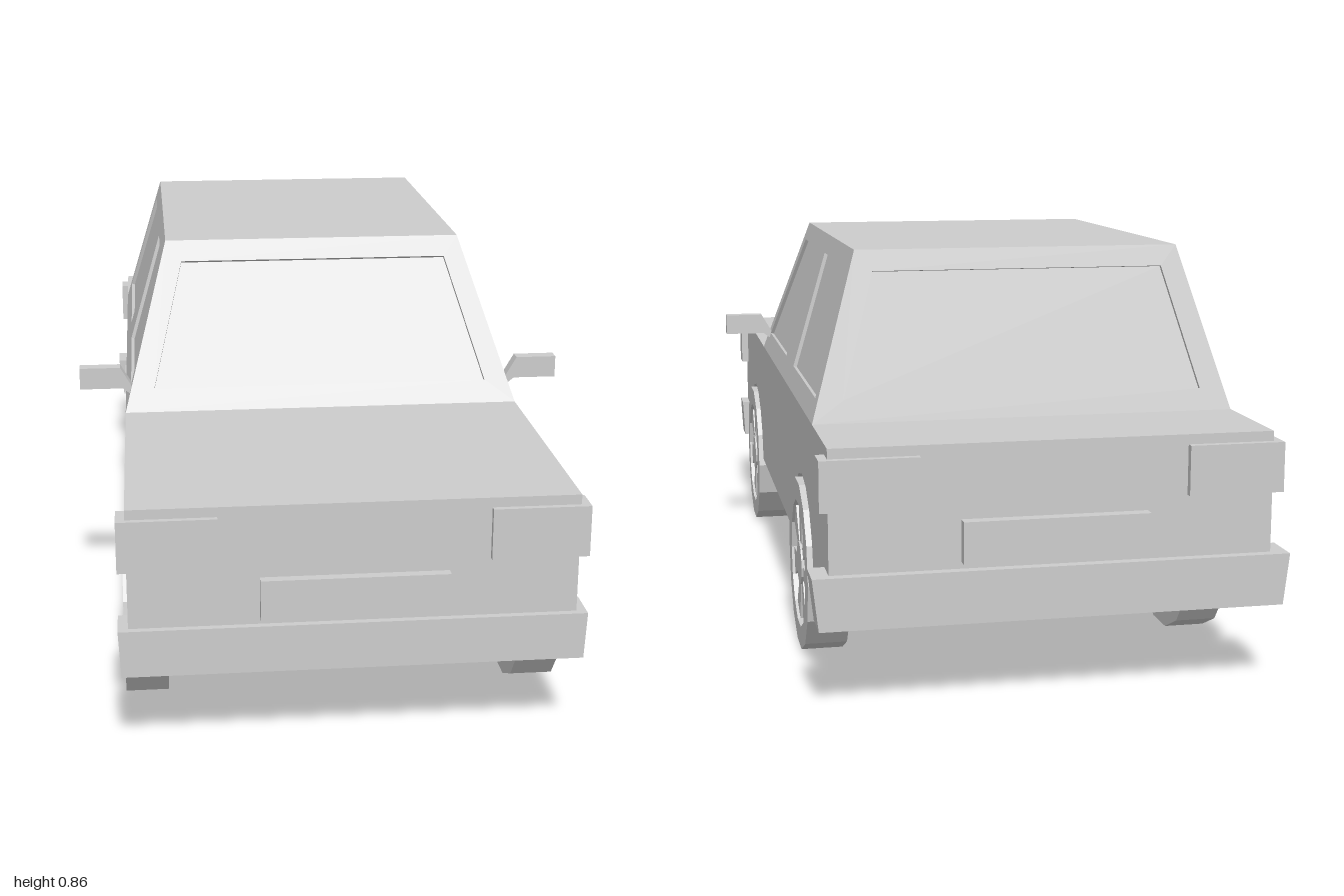
import * as THREE from 'three';

const paint = new THREE.MeshStandardMaterial({ color: 0xcccccc });
paint.name = 'light grey';

function add(parent, name, geometry) {
  const flat = geometry.index ? geometry.toNonIndexed() : geometry;
  flat.computeVertexNormals();
  const mesh = new THREE.Mesh(flat, paint);
  mesh.name = name;
  parent.add(mesh);
  return mesh;
}

// box from its lower and upper limits
function box(parent, name, x0, x1, y0, y1, z0, z1) {
  const g = new THREE.BoxGeometry(x1 - x0, y1 - y0, z1 - z0);
  g.translate((x0 + x1) / 2, (y0 + y1) / 2, (z0 + z1) / 2);
  return add(parent, name, g);
}

function extrude(points, depth) {
  const shape = new THREE.Shape(points.map(([x, y]) => new THREE.Vector2(x, y)));
  return new THREE.ExtrudeGeometry(shape, { depth, bevelEnabled: false });
}

// quads with corners counter-clockwise from outside
function quads(list) {
  const pos = [];
  for (const [a, b, c, d] of list) for (const p of [a, b, c, a, c, d]) pos.push(p.x, p.y, p.z);
  const g = new THREE.BufferGeometry();
  g.setAttribute('position', new THREE.Float32BufferAttribute(pos, 3));
  return g;
}

// cabin wall with a sunken window pane
function windowWall(parent, name, outer, inner, depth = 0.008) {
  const n = outer[1].clone().sub(outer[0]).cross(outer[3].clone().sub(outer[0])).normalize();
  const sunk = inner.map((p) => p.clone().addScaledVector(n, -depth));
  const frame = [];
  for (let i = 0; i < 4; i++) {
    const j = (i + 1) % 4;
    frame.push([outer[i], outer[j], inner[j], inner[i]], [inner[i], inner[j], sunk[j], sunk[i]]);
  }
  add(parent, name + 'Frame', quads(frame));
  add(parent, name + 'Window', quads([sunk]));
}

function buildBody(car) {
  box(car, 'bodyCore', -0.355, 0.355, 0.2, 0.52, -0.975, 0.98);
  // side slabs with wheel arches cut out; shape x runs towards the rear
  const outline = [[-0.98, 0.52], [-0.98, 0.2]];
  for (const c of [-0.65, 0.53]) {
    for (let i = 0; i <= 8; i++) {
      const a = Math.PI - 0.103 - (i / 8) * (Math.PI - 0.206);
      outline.push([c + 0.195 * Math.cos(a), 0.18 + 0.195 * Math.sin(a)]);
    }
  }
  outline.push([0.975, 0.2], [0.975, 0.52]);
  for (const [name, x] of [['leftBodySide', 0.355], ['rightBodySide', -0.44]]) {
    add(car, name, extrude(outline, 0.085).rotateY(Math.PI / 2).translate(x, 0, 0));
  }
}

function buildCabin(car) {
  const cabin = new THREE.Group();
  cabin.name = 'cabin';
  car.add(cabin);
  const V = (x, y, z) => new THREE.Vector3(x, y, z);
  const rise = (y) => (y - 0.52) / 0.34;
  const front = (x, y) => V(x, y, 0.375 - 0.23 * rise(y));
  const rear = (x, y) => V(-x, y, -0.735 + 0.085 * rise(y));
  const B = 0.52, T = 0.86;
  for (const [name, f] of [['front', front], ['rear', rear]]) {
    windowWall(cabin, name,
      [f(-0.44, B), f(0.44, B), f(0.34, T), f(-0.34, T)],
      [f(-0.375, 0.565), f(0.375, 0.565), f(0.305, 0.817), f(-0.305, 0.817)]);
  }
  // each side has a front and a rear window
  const wallParts = [
    ['Front', [0.375, -0.185, -0.185, 0.145], [0.305, -0.1, -0.118, 0.13]],
    ['Rear', [-0.185, -0.735, -0.65, -0.185], [-0.258, -0.685, -0.617, -0.255]],
  ];
  for (const s of [1, -1]) {
    const p = (z, y) => V(s * (0.44 - 0.1 * rise(y)), y, z);
    const order = (q) => (s > 0 ? q : [q[1], q[0], q[3], q[2]]);
    for (const [name, o, w] of wallParts) {
      windowWall(cabin, (s > 0 ? 'left' : 'right') + name,
        order([p(o[0], B), p(o[1], B), p(o[2], T), p(o[3], T)]),
        order([p(w[0], 0.565), p(w[1], 0.565), p(w[2], 0.82), p(w[3], 0.82)]));
    }
  }
  add(cabin, 'roof', quads([[V(-0.34, T, 0.145), V(0.34, T, 0.145), V(0.34, T, -0.65), V(-0.34, T, -0.65)]]));
}

function buildWheel(car, name, s, z) {
  const wheel = new THREE.Group();
  wheel.name = name;
  const R = 0.1846, r = 0.137;
  // tyre and sunken rim dish
  const profile = [[0, -0.044], [R, -0.044], [R, 0.044], [r, 0.044], [r, 0.012], [0, 0.012]];
  const tyre = new THREE.LatheGeometry(profile.map(([x, y]) => new THREE.Vector2(x, y)), 14);
  add(wheel, 'tyre', tyre.rotateZ(-Math.PI / 2));
  // tapered spokes
  for (let i = 0; i < 7; i++) {
    const g = extrude([[0.03, -0.01], [0.135, -0.03], [0.135, 0.03], [0.03, 0.01]], 0.026);
    g.rotateZ(Math.PI / 2 + (i * Math.PI * 2) / 7).rotateY(Math.PI / 2).translate(0.012, 0, 0);
    add(wheel, 'spoke', g);
  }
  const hub = new THREE.CylinderGeometry(0.046, 0.046, 0.03, 14);
  add(wheel, 'hub', hub.rotateZ(-Math.PI / 2).translate(0.027, 0, 0));
  wheel.position.set(s * 0.407, 0.18, z);
  wheel.rotation.y = s > 0 ? 0 : Math.PI;
  car.add(wheel);
}

// bumper bar with short wings wrapping the corners, tapering downwards
function buildBumper(car, name, half, taper, y0, y1, zEnd, zFace, zWing) {
  const group = new THREE.Group();
  group.name = name;
  const span = (a, b) => [Math.min(a, b), Math.max(a, b)];
  box(group, 'bar', -half, half, y0, y1, ...span(zEnd, zFace));
  box(group, 'leftWing', 0.43, half, y0, y1, ...span(zEnd, zWing));
  box(group, 'rightWing', -half, -0.43, y0, y1, ...span(zEnd, zWing));
  for (const mesh of group.children) {
    const p = mesh.geometry.attributes.position;
    for (let i = 0; i < p.count; i++) {
      const x = p.getX(i);
      if (p.getY(i) < y0 + 0.01 && Math.abs(x) > half - 0.005) p.setX(i, x - Math.sign(x) * taper);
    }
    mesh.geometry.computeVertexNormals();
  }
  car.add(group);
}

export function createModel() {
  const car = new THREE.Group();
  car.name = 'car';
  buildBody(car);
  buildCabin(car);
  buildBumper(car, 'frontBumper', 0.46, 0.005, 0.18, 0.276, 0.975, 0.994, 0.915);
  buildBumper(car, 'rearBumper', 0.474, 0.012, 0.172, 0.276, -0.97, -0.995, -0.912);
  box(car, 'frontPlate', -0.185, 0.185, 0.29, 0.373, 0.975, 1);
  box(car, 'rearPlate', -0.185, 0.185, 0.29, 0.373, -1, -0.97);

  for (const [side, s] of [['left', 1], ['right', -1]]) {
    // lamps wrap round the body corners
    const [x0, x1] = s > 0 ? [0.265, 0.458] : [-0.458, -0.265];
    box(car, side + 'Headlight', x0, x1, 0.396, 0.5, 0.93, 0.992);
    box(car, side + 'TailLight', x0, x1, 0.4, 0.5, -0.99, -0.93);
    // wing mirror
    const mirror = [[0.54, 0.613], [0.45, 0.613], [0.425, 0.57], [0.42, 0.545], [0.445, 0.565], [0.54, 0.565]];
    add(car, side + 'Mirror', extrude(mirror.map(([x, y]) => [s * x, y]), 0.03).translate(0, 0, 0.305));
    buildWheel(car, side + 'FrontWheel', s, 0.65);
    buildWheel(car, side + 'RearWheel', s, -0.53);
  }
  return car;
}
